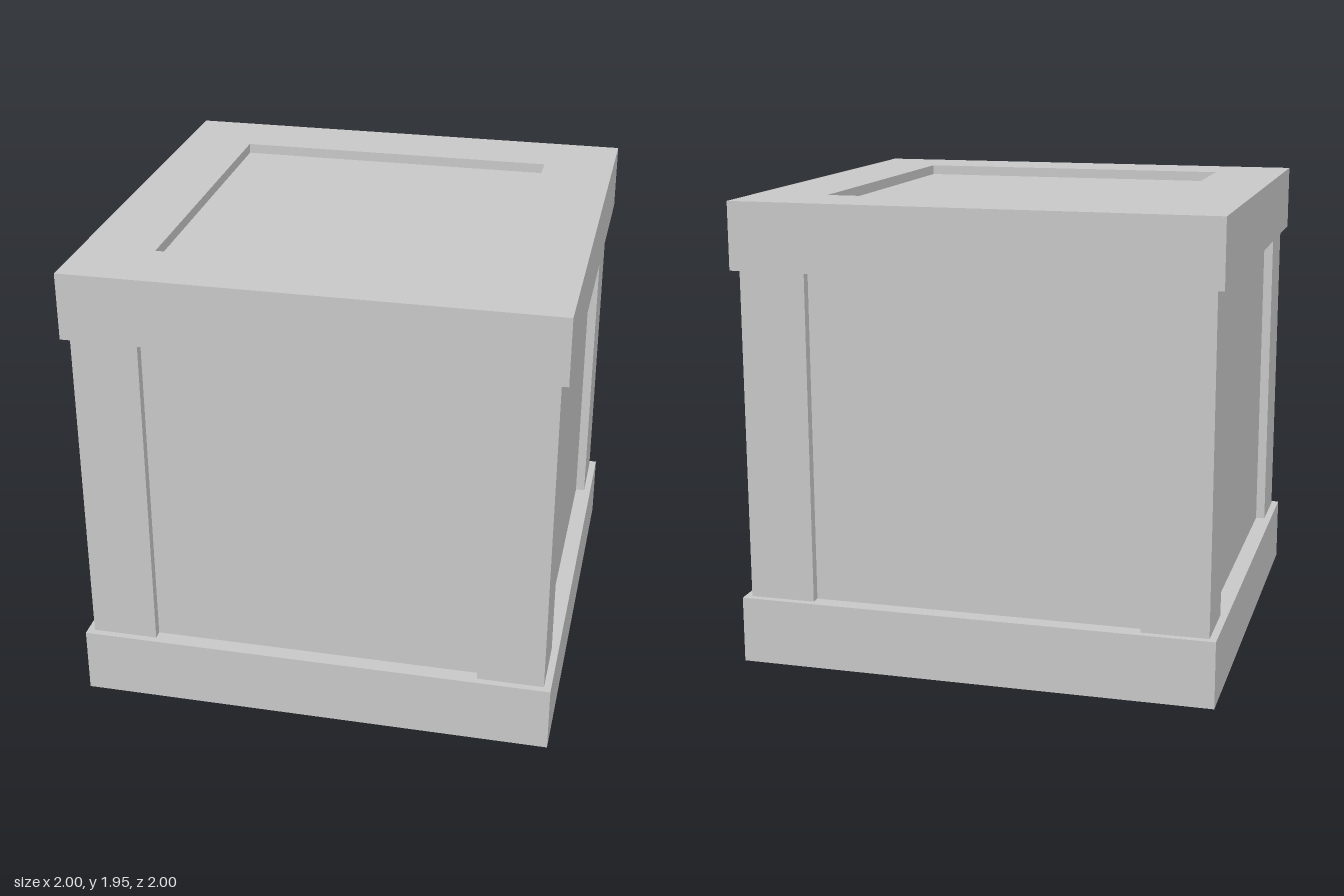
import * as THREE from 'three';

const HEIGHT = 1.945, RIM = 0.28, INNER = 0.693, POST = 0.97, BODY = 0.93;
const material = new THREE.MeshStandardMaterial({ color: 0xcccccc, flatShading: true });

function addMesh(group, name, geometry, x, y, z) {
  const mesh = new THREE.Mesh(geometry, material);
  mesh.name = name;
  mesh.position.set(x, y, z);
  group.add(mesh);
}

const squarePoints = (h) =>
  [[-h, -h], [h, -h], [h, h], [-h, h]].map(([x, y]) => new THREE.Vector2(x, y));

// Square ring lying flat, its underside at y = 0
function frameGeometry() {
  const shape = new THREE.Shape(squarePoints(1));
  shape.holes.push(new THREE.Path(squarePoints(INNER).reverse()));
  return new THREE.ExtrudeGeometry(shape, { depth: RIM, bevelEnabled: false }).rotateX(-Math.PI / 2);
}

export function createModel() {
  const crate = new THREE.Group();
  crate.name = 'crate';

  // Inner box, whose faces show as the recessed panels
  addMesh(crate, 'panelBox', new THREE.BoxGeometry(2 * BODY, 2 * BODY, 2 * BODY), 0, HEIGHT / 2, 0);

  // Wide frames around the bottom and the top
  const frame = frameGeometry();
  addMesh(crate, 'bottomFrame', frame, 0, 0, 0);
  addMesh(crate, 'topFrame', frame, 0, HEIGHT - RIM, 0);

  // Corner posts between the frames
  const width = POST - INNER, centre = (POST + INNER) / 2;
  const post = new THREE.BoxGeometry(width, HEIGHT - 2 * RIM, width);
  for (const [sx, side] of [[1, 'Left'], [-1, 'Right']]) {
    for (const [sz, end] of [[1, 'front'], [-1, 'back']]) {
      addMesh(crate, `${end}${side}Post`, post, sx * centre, HEIGHT / 2, sz * centre);
    }
  }
  return crate;
}
